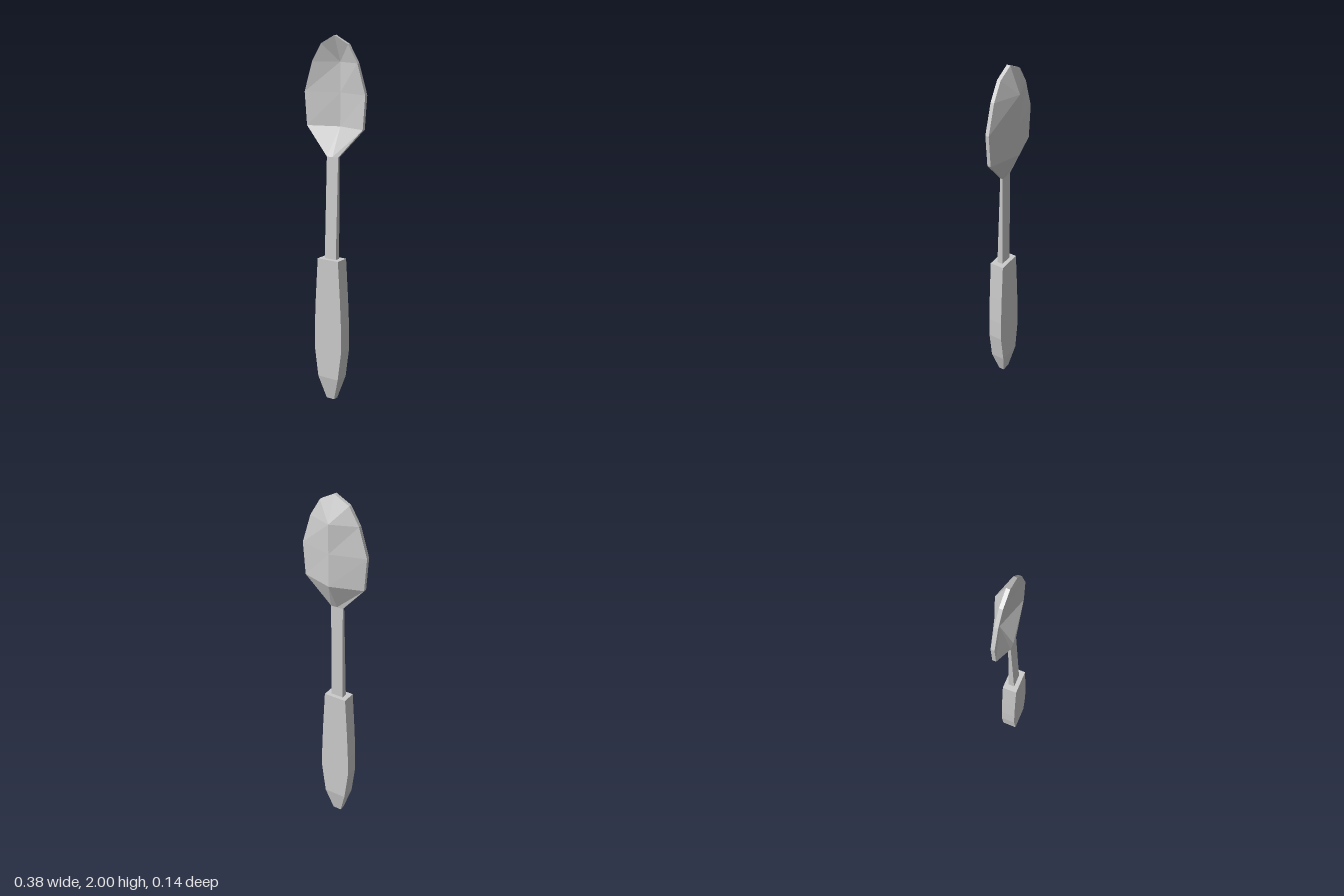
import * as THREE from 'three';

const material = new THREE.MeshStandardMaterial({ color: 0xcccccc, flatShading: true });

// Skins a stack of rings (bottom to top, counterclockwise seen from above) and caps the ends.
function loft(name, rings) {
  const pos = [];
  const same = (p, q) => p.every((v, i) => v === q[i]);
  const tri = (a, b, c) => {
    if (!same(a, b) && !same(b, c) && !same(a, c)) pos.push(...a, ...b, ...c);
  };
  const n = rings[0].length;
  for (let i = 0; i < rings.length - 1; i++) {
    for (let j = 0; j < n; j++) {
      const k = (j + 1) % n;
      const [a, b, c, d] = [rings[i][j], rings[i][k], rings[i + 1][k], rings[i + 1][j]];
      tri(a, b, c);
      tri(a, c, d);
    }
  }
  const first = rings[0], last = rings[rings.length - 1];
  for (let j = 1; j < n - 1; j++) {
    tri(first[0], first[j + 1], first[j]);
    tri(last[0], last[j], last[j + 1]);
  }
  const geometry = new THREE.BufferGeometry();
  geometry.setAttribute('position', new THREE.Float32BufferAttribute(pos, 3));
  geometry.computeVertexNormals();
  const mesh = new THREE.Mesh(geometry, material);
  mesh.name = name;
  return mesh;
}

// Rectangular cross-section: half width, back and front depth.
const rect = ([y, w, back, front]) => [[w, y, front], [w, y, back], [-w, y, back], [-w, y, front]];

// Bowl cross-section: a rim on each side and a sunken centre line.
const THICK = 0.02;
function bowlRing([y, w, rim, yc, centre, thick = THICK]) {
  return [
    [w, y, rim + thick], [w, y, rim], [0, yc, centre],
    [-w, y, rim], [-w, y, rim + thick], [0, yc, centre + thick],
  ];
}

export function createModel() {
  const model = new THREE.Group();
  model.name = 'spoon';

  // Grip, swelling in the middle and tapering to the end
  model.add(loft('handle', [
    [0, 0.025, 0.014, 0.046],
    [0.13, 0.065, -0.01, 0.07],
    [0.3, 0.088, -0.01, 0.07],
    [0.42, 0.087, -0.01, 0.07],
    [0.58, 0.08, -0.01, 0.07],
    [0.81, 0.066, -0.01, 0.07],
  ].map(rect)));

  // Slim shaft leaning back towards the bowl
  model.add(loft('neck', [
    [0.8, 0.036, 0.013, 0.046],
    [1.365, 0.036, 0.01, 0.024],
  ].map(rect)));

  // Hollow bowl; the last rings fan from the deep point to the tip
  model.add(loft('bowl', [
    [1.365, 0.036, 0.01, 1.365, 0.01, 0.014],
    [1.52, 0.177, -0.014, 1.52, -0.07],
    [1.7, 0.191, -0.014, 1.7, -0.07],
    [1.86, 0.142, -0.014, 1.86, -0.07],
    [1.955, 0.085, -0.014, 1.86, -0.07],
    [2, 0, -0.014, 2, -0.014],
  ].map(bowlRing)));

  return model;
}
